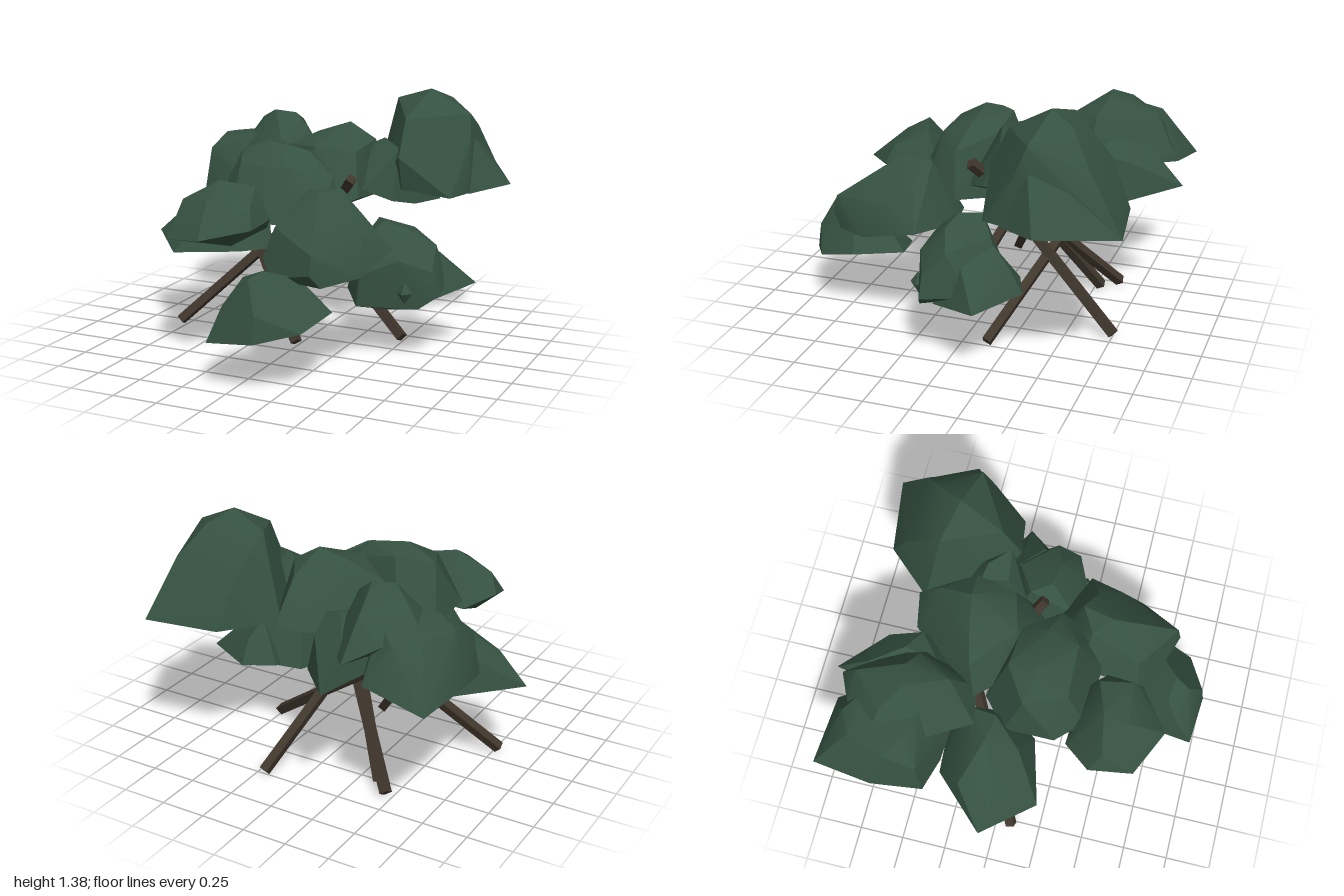
import * as THREE from 'three';
import { ConvexGeometry } from 'three/addons/geometries/ConvexGeometry.js';
import { toCreasedNormals } from 'three/addons/utils/BufferGeometryUtils.js';

const V = (p) => new THREE.Vector3(...p);

// Foliage clumps: hull corners as [x, y, z], lower rim first, then the crown
const CLUMPS = {
  backRightClump: [
    [.39, .85, -.87], [.80, .85, -.93], [.80, .84, -.33], [.74, .83, -.2], [.47, .86, -.18], [.28, .88, -.32], [.16, .86, -.62],
    [.30, 1.31, -.55], [.52, 1.38, -.49], [.77, 1.26, -.44], [.79, 1.1, -.38], [.46, 1.24, -.25], [.46, 1.04, -.15],
    [.6, 1.32, -.62], [.35, 1.1, -.76], [.72, 1.15, -.74],
  ],
  backRightSpur: [
    [.98, .87, -.53], [.8, .85, -.93], [.81, .84, -.32], [.55, .85, -.55], [.79, 1.12, -.45], [.7, 1.13, -.72],
  ],
  backLeftClump: [
    [-.86, .74, -.97], [-.91, .77, -.64], [-.86, .71, -.37], [-.68, .70, -.32], [-.45, .74, -.3], [-.35, .78, -.6], [-.5, .8, -.93],
    [-.82, 1.03, -.58], [-.70, 1.06, -.5], [-.55, 1.05, -.45], [-.5, 1.06, -.75], [-.74, 1.02, -.78], [-.83, .96, -.4], [-.62, 1.0, -.85],
  ],
  upperLeftClump: [
    [-.70, 1.0, -.68], [-.56, .98, -.84], [-.38, .88, -.93], [-.2, .86, -.7], [-.14, .85, -.5], [-.26, .82, -.22], [-.48, .84, -.18],
    [-.66, .95, -.42], [-.48, 1.19, -.55], [-.35, 1.18, -.56], [-.25, 1.1, -.52], [-.6, 1.13, -.64], [-.42, 1.1, -.82], [-.34, 1.06, -.34],
  ],
  backMiddleClump: [
    [-.31, .73, -1.0], [-.06, .69, -.72], [0, .67, -.58], [-.03, .68, -.38], [-.3, .7, -.25], [-.4, .72, -.55],
    [-.31, .95, -.8], [-.2, 1.0, -.62], [-.08, .95, -.56], [-.25, .95, -.42], [-.12, .9, -.74],
  ],
  leftClump: [
    [-.98, .52, -.04], [-.74, .47, .23], [-.38, .49, .13], [-.26, .48, -.05], [-.42, .5, -.35], [-.7, .52, -.33],
    [-.78, .68, -.2], [-.66, .8, -.14], [-.55, .85, -.1], [-.4, .82, -.08], [-.54, .74, .08], [-.38, .8, -.24], [-.8, .67, 0],
  ],
  topClump: [
    [-.02, .84, -.62], [.18, .84, -.66], [.28, .8, -.32], [.27, .82, -.04], [.18, .78, .08], [-.06, .78, .04], [-.34, .86, -.22], [-.2, .84, -.4],
    [.1, 1.19, -.33], [.25, 1.1, -.34], [-.08, 1.13, -.3], [.14, 1.08, -.52], [-.24, 1.05, -.26], [.22, 1.06, -.12], [.0, 1.08, -.06],
  ],
  centreClump: [
    [-.44, .74, -.03], [-.28, .74, -.17], [.08, .7, -.1], [.27, .72, .12], [.2, .74, .32], [.02, .74, .41], [-.3, .74, .39], [-.45, .78, .25],
    [-.38, 1.06, .06], [-.2, 1.13, .1], [.04, 1.09, .1], [.2, .97, .14], [.02, 1.02, .27], [-.28, 1.02, .28], [-.2, 1.1, -.06], [.04, 1.04, -.04],
  ],
  frontLeftClump: [
    [-.56, .76, .46], [-.43, .7, .31], [-.1, .7, .33], [-.02, .78, .45], [-.03, .76, .65], [-.25, .72, .82], [-.5, .68, .7], [-.42, .63, .5], [-.2, .64, .55],
    [-.5, .86, .52], [-.3, .97, .48], [-.12, .94, .42], [-.06, .87, .6], [-.3, .89, .62],
  ],
  frontRightClump: [
    [0, .7, .3], [.12, .62, .12], [.3, .6, .1], [.58, .63, .23], [.53, .55, .55], [.4, .53, .74], [.36, .6, .79], [.1, .54, .7], [.02, .62, .62],
    [.14, .93, .32], [.24, .94, .42], [.28, .93, .24], [.41, .85, .3], [.49, .74, .42], [.36, .7, .77], [.26, .82, .56], [.08, .78, .6],
  ],
  lowFrontClump: [
    [-.12, .25, .98], [.15, .28, 1.0], [.36, .33, .88], [.43, .39, .66], [.25, .36, .43], [0, .32, .48], [-.1, .29, .7],
    [.15, .42, .98], [.08, .58, .9], [.0, .56, .8], [.12, .61, .82], [.26, .56, .7], [.18, .52, .58], [-.08, .42, .88],
  ],
  lowRightClump: [
    [.81, .38, .12], [.7, .3, .16], [.55, .29, .19], [.38, .3, .24], [.25, .34, .05], [.32, .36, -.2], [.6, .38, -.28], [.75, .4, -.15],
    [.74, .62, .0], [.6, .7, .05], [.45, .73, .03], [.38, .72, -.08], [.4, .47, .24], [.35, .6, .18], [.6, .56, .19], [.76, .5, .12], [.55, .66, -.18],
  ],
  lowRightSpur: [
    [.9, .38, -.2], [.72, .32, .08], [.45, .34, -.1], [.6, .39, -.37], [.42, .4, -.3], [.73, .55, -.08], [.56, .62, -.2], [.6, .52, -.3],
  ],
  smallUpperClump: [
    [.23, .9, -.32], [.28, .86, -.08], [.43, .8, -.14], [.52, .77, -.26], [.6, .77, -.45], [.4, .77, -.55], [.26, .8, -.45],
    [.24, 1.08, -.32], [.32, 1.12, -.3], [.45, 1.08, -.2], [.28, 1.04, -.18],
  ],
};

// Sticks: ground end, then upper end
const STICKS = [
  [[-.78, .03, .09], [0, .82, -.36]],
  [[-.47, .03, -.63], [.26, .94, .03]],
  [[-.38, .03, -.54], [.05, .78, -.12]],
  [[0, .03, .18], [-.5, .73, -.16]],
  [[.2, .03, -.76], [-.09, .76, .07]],
  [[.5, .03, -.14], [-.4, .72, -.54]],
];

export function createModel() {
  const model = new THREE.Group();
  const leaf = new THREE.MeshStandardMaterial({ color: 0x355141 });
  leaf.name = 'leafGreen';
  const bark = new THREE.MeshStandardMaterial({ color: 0x3f362c });
  bark.name = 'barkBrown';

  const add = (name, geometry, material) => {
    const mesh = new THREE.Mesh(geometry, material);
    mesh.name = name;
    model.add(mesh);
    return mesh;
  };

  // Rough faceted foliage with soft shading across shallow creases
  for (const [name, points] of Object.entries(CLUMPS)) {
    add(name, toCreasedNormals(new ConvexGeometry(points.map(V)), 0.5), leaf);
  }

  // Small stray tuft poking out of the low right clump
  const tuft = add('tuft', new THREE.OctahedronGeometry(.055), leaf);
  tuft.position.set(.635, .39, .19);
  tuft.scale.set(.8, 1.1, .8);

  // Square leaning sticks that cross in the middle
  STICKS.forEach(([from, to], i) => {
    const a = V(from), b = V(to);
    const dir = b.clone().sub(a);
    const stick = add('stick' + (i + 1), new THREE.BoxGeometry(.048, dir.length(), .048), bark);
    stick.position.copy(a).add(b).multiplyScalar(.5);
    stick.quaternion.setFromUnitVectors(new THREE.Vector3(0, 1, 0), dir.normalize());
  });
  return model;
}
